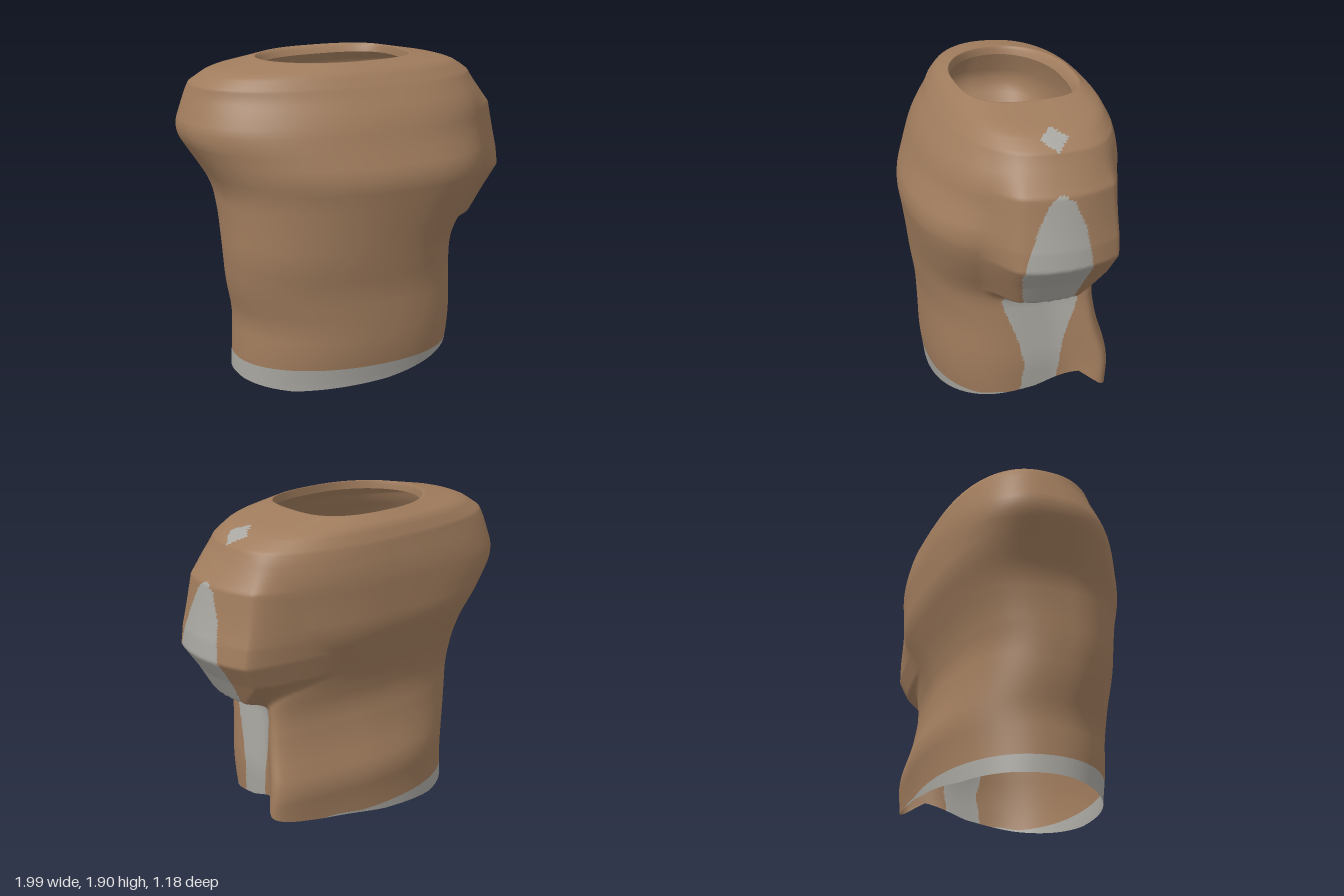
import * as THREE from 'three';

const COLS = 290, HEM_ROWS = 8, BODY_ROWS = 140, LIP_ROWS = 3;
const TOP = 1.9, HEM_TOP = 0.135;
const { smoothstep } = THREE.MathUtils;

// Body sections: y, xMin, xMax, zMin, zMax, back right squareness, other squareness, corner flare
const SECTIONS = [
  [0.00, -0.75, 0.60, -0.53, 0.45, 2.2, 2.3, 0.27],
  [0.23, -0.74, 0.62, -0.54, 0.485, 2.2, 2.3, 0.27],
  [0.38, -0.73, 0.63, -0.56, 0.49, 2.2, 2.3, 0.25],
  [0.60, -0.78, 0.61, -0.49, 0.49, 2.4, 2.3, 0.23],
  [0.80, -0.80, 0.59, -0.455, 0.52, 2.6, 2.4, 0.22],
  [0.88, -0.80, 0.62, -0.465, 0.53, 2.8, 2.4, 0.20],
  [1.00, -0.80, 0.70, -0.49, 0.55, 3.0, 2.4, 0.10],
  [1.17, -0.81, 0.80, -0.55, 0.58, 3.4, 2.4, 0],
  [1.28, -0.87, 0.84, -0.59, 0.60, 3.4, 2.4, 0],
  [1.50, -1.01, 0.87, -0.59, 0.51, 3.2, 2.4, 0],
  [1.60, -0.98, 0.87, -0.59, 0.48, 3.0, 2.5, 0],
  [1.83, -0.90, 0.77, -0.545, 0.34, 2.6, 2.6, 0],
  [1.90, -0.54, 0.37, -0.45, 0.25, 2.0, 3.0, 0],
];

// Cut-off sleeve on the left side: y, outer x, zBack, zFront, strength
const SLEEVE = [[0.79, 0.60, -0.2, 0.06, 0], [0.88, 0.81, -0.22, 0.1, 1], [1.03, 0.90, -0.37, 0.13, 1],
  [1.17, 1.0, -0.4, 0.15, 1], [1.28, 0.985, -0.4, 0.15, 1], [1.57, 0.94, -0.38, 0.12, 0.8],
  [1.82, 0.77, -0.3, 0.06, 0]];

// Height of the slanted lower edge by angle (0 = left side, 90 = front)
const HEM = [[-180, 0.03], [-120, 0.04], [-90, 0.09], [-60, 0.16], [-38, 0.23], [-25, 0.29],
  [0, 0.19], [30, 0.13], [60, 0.08], [90, 0.03], [135, 0.0], [180, 0.03]];

// Grey panel on the left side: y, zMin, zMax
const PANEL = [[0.1, -0.15, 0.06], [0.36, -0.18, 0.03], [0.5, -0.2, 0.06], [0.78, -0.27, 0.16],
  [0.9, -0.2, 0.1], [1.15, -0.24, 0.15], [1.4, -0.2, 0.07], [1.54, -0.14, 0.0], [1.59, -0.07, -0.06]];

// Linear lookup in a table keyed by its first column
function lookup(table, key) {
  let i = 0;
  while (i < table.length - 2 && key > table[i + 1][0]) i++;
  const a = table[i], b = table[i + 1];
  const t = THREE.MathUtils.clamp((key - a[0]) / (b[0] - a[0]), 0, 1);
  return a.map((v, k) => v + (b[k] - v) * t);
}

// Section softened over a short height so the folds stay rounded
function sectionAt(y) {
  const r = Math.min(0.06, (TOP - y) * 0.6);
  const samples = [-1, -0.5, 0, 0.5, 1].map((k) => lookup(SECTIONS, y + k * r));
  return samples[0].map((_, k) => samples.reduce((sum, s) => sum + s[k], 0) / samples.length);
}

function surfacePoint(angle, y) {
  const [, x0, x1, z0, z1, nBack, nSide, corner] = sectionAt(y);
  const cx = (x0 + x1) / 2 + 0.06 * (1 - smoothstep(y, 1.7, 1.85));
  const cz = (z0 + z1) / 2 - 0.08 * smoothstep(y, 1.1, 1.5) * (1 - smoothstep(y, 1.7, 1.88));
  const c = Math.cos(angle), s = Math.sin(angle);
  // the front right quarter is rounder, the back right one squarer
  let n = nSide;
  if (c < 0) n = s > 0 ? 2.05 : nBack;
  const px = Math.sign(c) * Math.abs(c) ** (2 / n);
  const pz = Math.sign(s) * Math.abs(s) ** (2 / n);
  let x = cx + px * (px > 0 ? x1 - cx : cx - x0);
  let z = cz + pz * (pz > 0 ? z1 - cz : cz - z0);
  // flared back corner
  const flare = corner * Math.exp(-(((angle + 0.75) / 0.34) ** 2));
  x += flare;
  z -= flare * 0.1;
  // sleeve pulled out to its flat end
  if (c > 0) {
    const [, outer, zBack, zFront, strength] = lookup(SLEEVE, y);
    const end = outer - 0.8 * (z + 0.08) ** 2;
    const pull = strength * smoothstep(z, zBack - 0.11, zBack) * (1 - smoothstep(z, zFront, zFront + 0.18));
    x += Math.max(0, end - x) * pull;
  }
  return [x, y, z];
}

function isGrey(x, y, z, row) {
  if (row < HEM_ROWS && y < 0.16) return true;
  if (x > 0.4 && y < 1.58) {
    const [, a, b] = lookup(PANEL, y);
    return z > a && z < b;
  }
  // small patch on top of the shoulder
  return y > 1.7 && Math.abs(x - 0.72) / 0.08 + Math.abs(z + 0.09) / 0.08 < 1;
}

function shellGeometry() {
  const rows = HEM_ROWS + BODY_ROWS + LIP_ROWS;
  const pos = [];
  for (let r = 0; r <= rows; r++) {
    for (let i = 0; i < COLS; i++) {
      const angle = (i / COLS) * Math.PI * 2 - Math.PI;
      const low = lookup(HEM, THREE.MathUtils.radToDeg(angle))[1];
      const mid = Math.max(HEM_TOP, low + 0.012);
      if (r <= HEM_ROWS) {
        pos.push(...surfacePoint(angle, low + (mid - low) * r / HEM_ROWS));
      } else if (r <= HEM_ROWS + BODY_ROWS) {
        const t = 1 - (1 - (r - HEM_ROWS) / BODY_ROWS) ** 1.35;
        pos.push(...surfacePoint(angle, mid + (TOP - mid) * t));
      } else {
        // lip turned into the neck opening, wider at the back
        const t = (r - HEM_ROWS - BODY_ROWS) / LIP_ROWS;
        const [x, y, z] = surfacePoint(angle, TOP);
        pos.push(x * (1 - 0.02 * t), y - 0.05 * t * t, z + 0.05 * t * Math.max(0, -Math.sin(angle)));
      }
    }
  }
  const brown = [], grey = [];
  const addFace = (row, ...ids) => {
    const mean = [0, 1, 2].map((k) => ids.reduce((sum, id) => sum + pos[id * 3 + k], 0) / 3);
    (isGrey(...mean, row) ? grey : brown).push(...ids);
  };
  for (let r = 0; r < rows; r++) {
    for (let i = 0; i < COLS; i++) {
      const j = (i + 1) % COLS;
      const a = r * COLS + i, b = r * COLS + j, c = a + COLS, d = b + COLS;
      addFace(r, a, c, b);
      addFace(r, b, c, d);
    }
  }
  const geo = new THREE.BufferGeometry();
  geo.setAttribute('position', new THREE.Float32BufferAttribute(pos, 3));
  geo.setIndex([...brown, ...grey]);
  geo.addGroup(0, brown.length, 0);
  geo.addGroup(brown.length, grey.length, 1);
  geo.computeVertexNormals();
  return geo;
}

export function createModel() {
  const brown = new THREE.MeshStandardMaterial({ name: 'brown cloth', color: 0xa07c5d, side: THREE.DoubleSide });
  const grey = new THREE.MeshStandardMaterial({ name: 'grey trim', color: 0xa8a6a0, side: THREE.DoubleSide });
  const group = new THREE.Group();
  group.name = 'sleeveless top';
  const shell = new THREE.Mesh(shellGeometry(), [brown, grey]);
  shell.name = 'torso shell';
  group.add(shell);
  return group;
}
